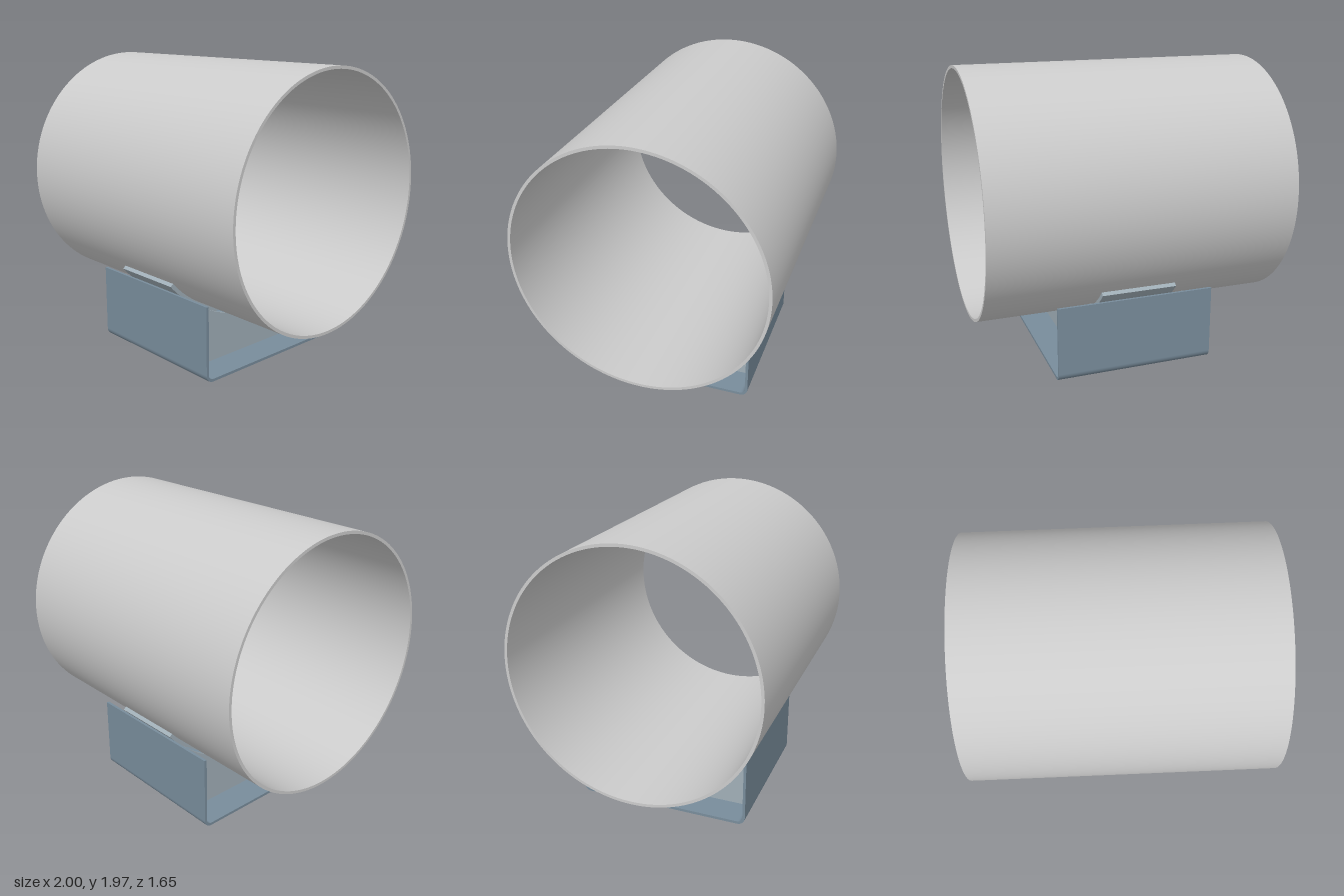
import * as THREE from 'three';

const AXIS_Y = 1.14;     // height of the pipe's axis
const PIPE_R = 0.826;
const SADDLE_R = 0.852;

// Extrude a (z, y) profile along x, centred on the given x
function extrudeX(name, shape, length, x, color) {
  const geometry = new THREE.ExtrudeGeometry(shape, { depth: length, bevelEnabled: false, curveSegments: 48 });
  geometry.translate(0, 0, -length / 2).rotateY(Math.PI / 2);
  const mesh = new THREE.Mesh(geometry, new THREE.MeshStandardMaterial({ color }));
  mesh.name = name;
  mesh.position.x = x;
  return mesh;
}

// Hollow pipe: closed profile turned around its axis, corners doubled to stay sharp
function makePipe() {
  const inner = 0.807;
  const group = new THREE.Group();
  group.name = 'pipe';
  const walls = [
    ['outerWall', [[PIPE_R, -1], [PIPE_R, 1]]],
    ['topRim', [[PIPE_R, 1], [inner, 1]]],
    ['innerWall', [[inner, 1], [inner, -1]]],
    ['bottomRim', [[inner, -1], [PIPE_R, -1]]],
  ];
  const material = new THREE.MeshStandardMaterial({ color: 0xcccccc });
  for (const [name, points] of walls) {
    const profile = points.map(([r, y]) => new THREE.Vector2(r, y));
    const mesh = new THREE.Mesh(new THREE.LatheGeometry(profile, 128), material);
    mesh.name = name;
    group.add(mesh);
  }
  group.rotation.z = Math.PI / 2;
  group.position.y = AXIS_Y;
  return group;
}

// U-shaped channel with rounded lower corners
function channelShape() {
  const w = 0.593, h = 0.51, t = 0.018, r = 0.055;
  const s = new THREE.Shape();
  s.moveTo(-w, h);
  s.lineTo(-w, r);
  s.absarc(-w + r, r, r, Math.PI, Math.PI * 1.5, false);
  s.absarc(w - r, r, r, Math.PI * 1.5, Math.PI * 2, false);
  s.lineTo(w, h);
  s.lineTo(w - t, h);
  s.absarc(w - r, r, r - t, 0, -Math.PI / 2, true);
  s.absarc(-w + r, r, r - t, -Math.PI / 2, -Math.PI, true);
  s.lineTo(-w + t, h);
  s.closePath();
  return s;
}

// Curved pad under the pipe
function saddleShape() {
  const half = THREE.MathUtils.degToRad(49), down = -Math.PI / 2;
  const s = new THREE.Shape();
  s.absarc(0, AXIS_Y, SADDLE_R, down - half, down + half, false);
  s.absarc(0, AXIS_Y, PIPE_R, down + half, down - half, true);
  s.closePath();
  return s;
}

// Cross plate with clipped lower corners and a curved top
function ribShape() {
  const w = 0.575, floor = 0.018, clip = 0.045;
  const half = Math.asin(w / SADDLE_R), down = -Math.PI / 2;
  const s = new THREE.Shape();
  s.moveTo(-w + clip, floor);
  s.lineTo(w - clip, floor);
  s.lineTo(w, floor + clip);
  s.lineTo(w, 0.5);
  s.absarc(0, AXIS_Y, SADDLE_R, down + half, down - half, true);
  s.lineTo(-w, floor + clip);
  s.closePath();
  return s;
}

export function createModel() {
  const model = new THREE.Group();
  model.name = 'pipeSupport';
  model.add(makePipe());
  model.add(extrudeX('channelBase', channelShape(), 1.06, 0, 0x788c9b));
  model.add(extrudeX('saddlePad', saddleShape(), 0.5, 0, 0xa0aeb7));
  for (const side of [-1, 1]) {
    model.add(extrudeX(side > 0 ? 'leftRib' : 'rightRib', ribShape(), 0.02, side * 0.315, 0xa0aeb7));
  }
  return model;
}
